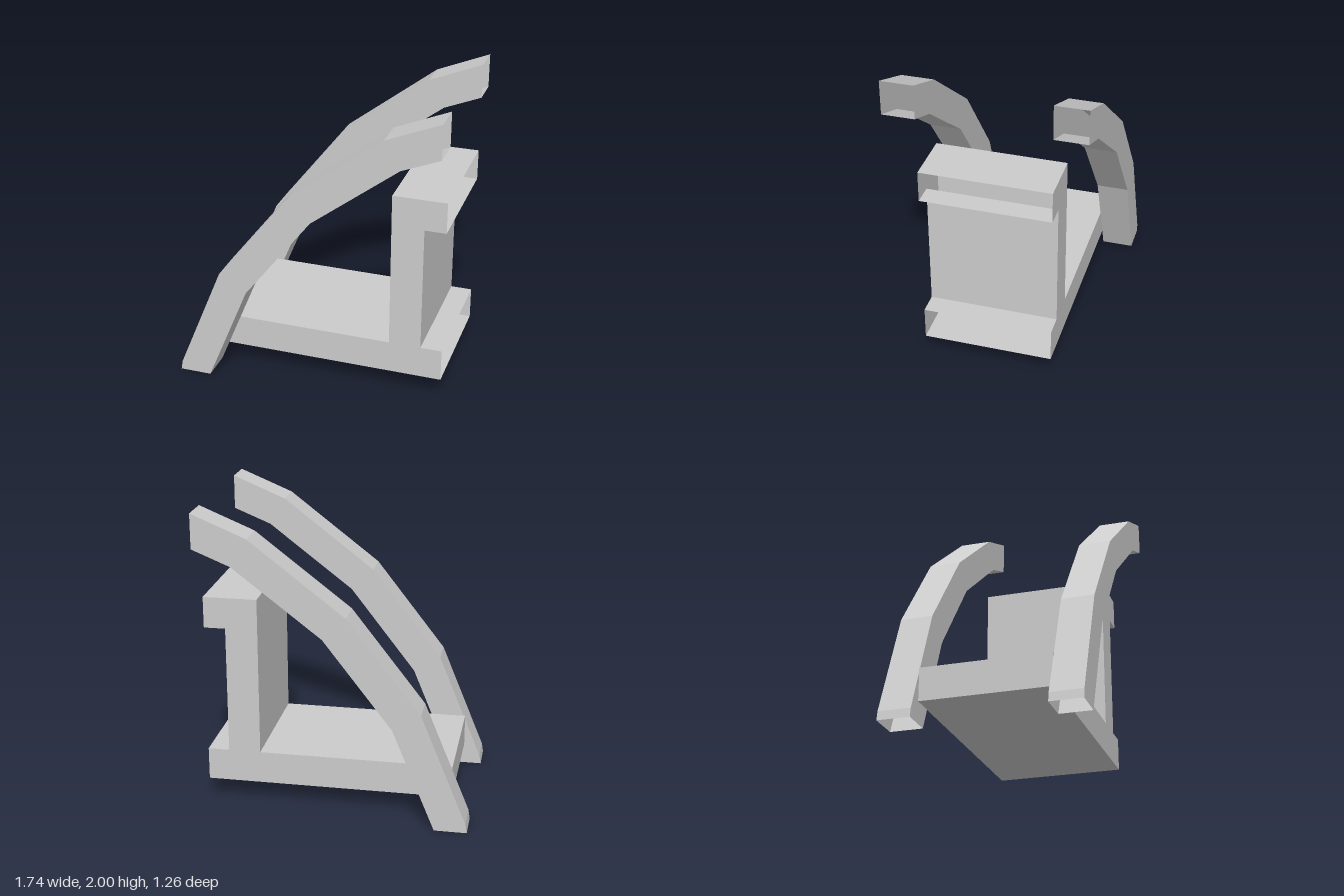
import * as THREE from 'three';
import { mergeGeometries } from 'three/addons/utils/BufferGeometryUtils.js';

const material = new THREE.MeshStandardMaterial({
  color: 0xcccccc, flatShading: true, side: THREE.DoubleSide,
});

// Hollow prism from a counter-clockwise profile; the listed edges stay open.
function hollowPrism(name, profile, depth, openEdges) {
  const points = profile.map(([x, y]) => new THREE.Vector2(x, y));
  const front = new THREE.ShapeGeometry(new THREE.Shape(points)).toNonIndexed();
  const back = front.clone().rotateY(Math.PI).scale(1, 1, 1);
  // Turn the back cap around while keeping its outline in place.
  const p = back.attributes.position;
  const f = front.attributes.position;
  for (let i = 0; i < p.count; i += 3) {
    [0, 2, 1].forEach((k, j) => p.setXYZ(i + j, f.getX(i + k), f.getY(i + k), -depth / 2));
  }
  front.translate(0, 0, depth / 2);

  // Walls along the remaining edges
  const walls = [];
  points.forEach((a, i) => {
    if (openEdges.includes(i)) return;
    const b = points[(i + 1) % points.length];
    const z = depth / 2;
    walls.push(a.x, a.y, -z, b.x, b.y, -z, b.x, b.y, z);
    walls.push(a.x, a.y, -z, b.x, b.y, z, a.x, a.y, z);
  });
  const wall = new THREE.BufferGeometry();
  wall.setAttribute('position', new THREE.Float32BufferAttribute(walls, 3));

  const parts = [front, back, wall];
  parts.forEach((g) => {
    g.deleteAttribute('uv');
    g.deleteAttribute('normal');
  });
  const geometry = mergeGeometries(parts);
  geometry.computeVertexNormals();
  const mesh = new THREE.Mesh(geometry, material);
  mesh.name = name;
  return mesh;
}

export function createModel() {
  const model = new THREE.Group();
  model.name = 'bracketWithArms';

  // Central bracket: floor slab, upright and top lip, open at the +x ends
  const bracket = [
    [-0.75, 0.14], [0.865, 0.14], [0.865, 0.355], [0.725, 0.355], [0.725, 1.2],
    [0.865, 1.2], [0.865, 1.405], [0.515, 1.405], [0.515, 0.355], [-0.75, 0.355],
  ];
  model.add(hollowPrism('bracket', bracket, 0.84, [1, 5]));

  // Curved side arms, open at the foot and at the tip
  const arm = [
    [-0.87, 0], [-0.66, 0], [-0.385, 0.67], [0.055, 1.24], [0.62, 1.675],
    [0.865, 1.775], [0.865, 2], [0.515, 1.855], [-0.095, 1.385], [-0.565, 0.78],
    [-0.86, 0.06],
  ];
  for (const side of [1, -1]) {
    const mesh = hollowPrism(side > 0 ? 'frontArm' : 'backArm', arm, 0.21, [0, 5]);
    mesh.position.z = side * 0.523;
    model.add(mesh);
  }
  return model;
}
